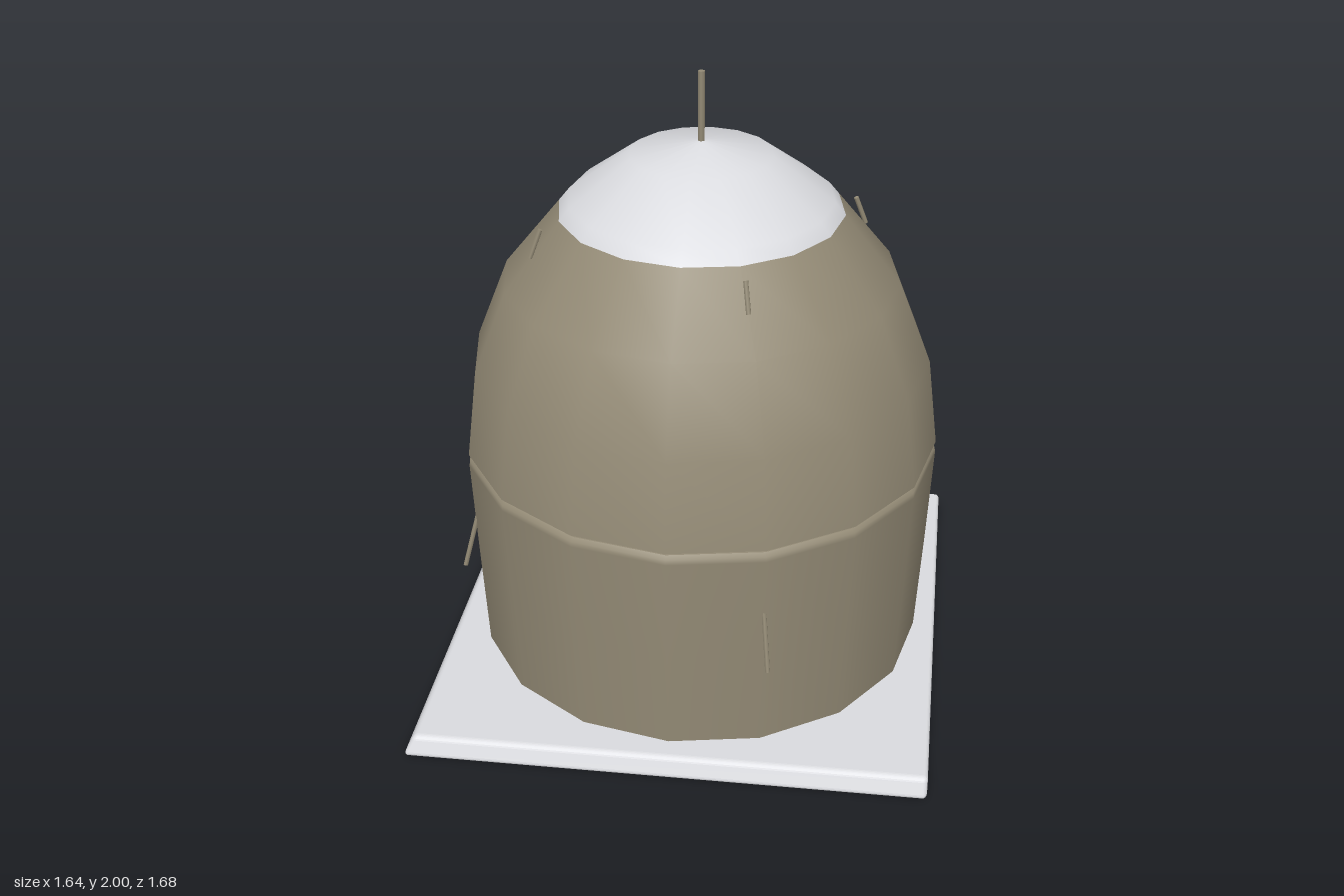
import * as THREE from 'three';
import { RoundedBoxGeometry } from 'three/addons/geometries/RoundedBoxGeometry.js';

const SIDES = 16;
const material = (name, color, side = THREE.FrontSide) => {
  const m = new THREE.MeshStandardMaterial({ color, side });
  m.name = name;
  return m;
};
const points = (list) => list.map(([r, y]) => new THREE.Vector2(r, y));

export function createModel() {
  const khaki = material('khaki', 0x948b76, THREE.DoubleSide);
  const white = material('white', 0xdadbdf, THREE.DoubleSide);
  const model = new THREE.Group();
  const tower = new THREE.Group();
  tower.name = 'tower';
  tower.position.x = 0.007;
  model.add(tower);

  const add = (parent, name, geometry, mat) => {
    const mesh = new THREE.Mesh(geometry, mat);
    mesh.name = name;
    parent.add(mesh);
    return mesh;
  };

  // Base slab: left side slopes in, back side overhangs, whole plan slightly skewed
  const slab = new RoundedBoxGeometry(1.62, 0.063, 1.64, 3, 0.014);
  const p = slab.attributes.position;
  for (let i = 0; i < p.count; i++) {
    const x = p.getX(i), y = p.getY(i), z = p.getZ(i);
    const t = y / 0.063;
    const lean = x < 0 ? -0.03 * t * (x / 0.81) : 0;
    p.setXYZ(i, x + lean + 0.006 * z, y + 0.0345 - 0.004 * z, z - 0.03 * t - 0.014 * x);
  }
  slab.computeVertexNormals();
  add(model, 'baseSlab', slab, white);

  // Body wall with a softened upper rim
  add(tower, 'body', new THREE.LatheGeometry(
    points([[0.73, 0.03], [0.75, 0.4], [0.766, 0.745], [0.764, 0.762], [0.752, 0.772]]), SIDES), khaki);
  add(tower, 'bodyTop', new THREE.LatheGeometry(points([[0.752, 0.772], [0, 0.772]]), SIDES), khaki);

  // Footprint of the body showing under the slab
  const half = Math.acos(-0.22 / 0.725);
  const foot = new THREE.Shape().absarc(0, 0, 0.725, -half, half, false);
  const footMesh = add(tower, 'bodyFootprint', new THREE.ShapeGeometry(foot, 12), khaki);
  footMesh.geometry.rotateX(Math.PI / 2).rotateY(-Math.PI * 3 / 4);

  // Dome and cap share one smooth lathe, coloured by ring
  const profile = points([[0.766, 0.785], [0.73, 1.075], [0.625, 1.34], [0.447, 1.56],
    [0.415, 1.6], [0.222, 1.74], [0, 1.782]]);
  const dome = new THREE.LatheGeometry(profile, SIDES);
  const rings = profile.length - 1;
  for (let i = 0; i < SIDES; i++) {
    dome.addGroup(i * rings * 6, 18, 0);
    dome.addGroup(i * rings * 6 + 18, (rings - 3) * 6, 1);
  }
  add(tower, 'domeAndCap', dome, [khaki, white]);
  add(tower, 'domeUnderside', new THREE.LatheGeometry(points([[0.72, 0.785], [0.766, 0.785]]), SIDES), white);

  // Antenna
  add(tower, 'antenna', new THREE.CylinderGeometry(0.011, 0.011, 0.25, 6), khaki).position.y = 1.875;

  // Thin pegs leaning out of the wall, four around each level
  const peg = (name, angle, r0, y0, r1, y1) => {
    const at = (r, y) => new THREE.Vector3(Math.sin(angle) * r, y, Math.cos(angle) * r);
    const a = at(r0, y0), b = at(r1, y1), d = b.clone().sub(a);
    const mesh = add(tower, name, new THREE.CylinderGeometry(0.008, 0.008, d.length(), 6), khaki);
    mesh.position.copy(a).add(b).multiplyScalar(0.5);
    mesh.quaternion.setFromUnitVectors(new THREE.Vector3(0, 1, 0), d.normalize());
  };
  for (let k = 0; k < 4; k++) {
    const angle = Math.PI / 8 + k * Math.PI / 2;
    peg('upperPeg', angle, 0.54, 1.45, 0.505, 1.54);
    peg('lowerPeg', angle, 0.8, 0.37, 0.742, 0.585);
  }
  return model;
}
